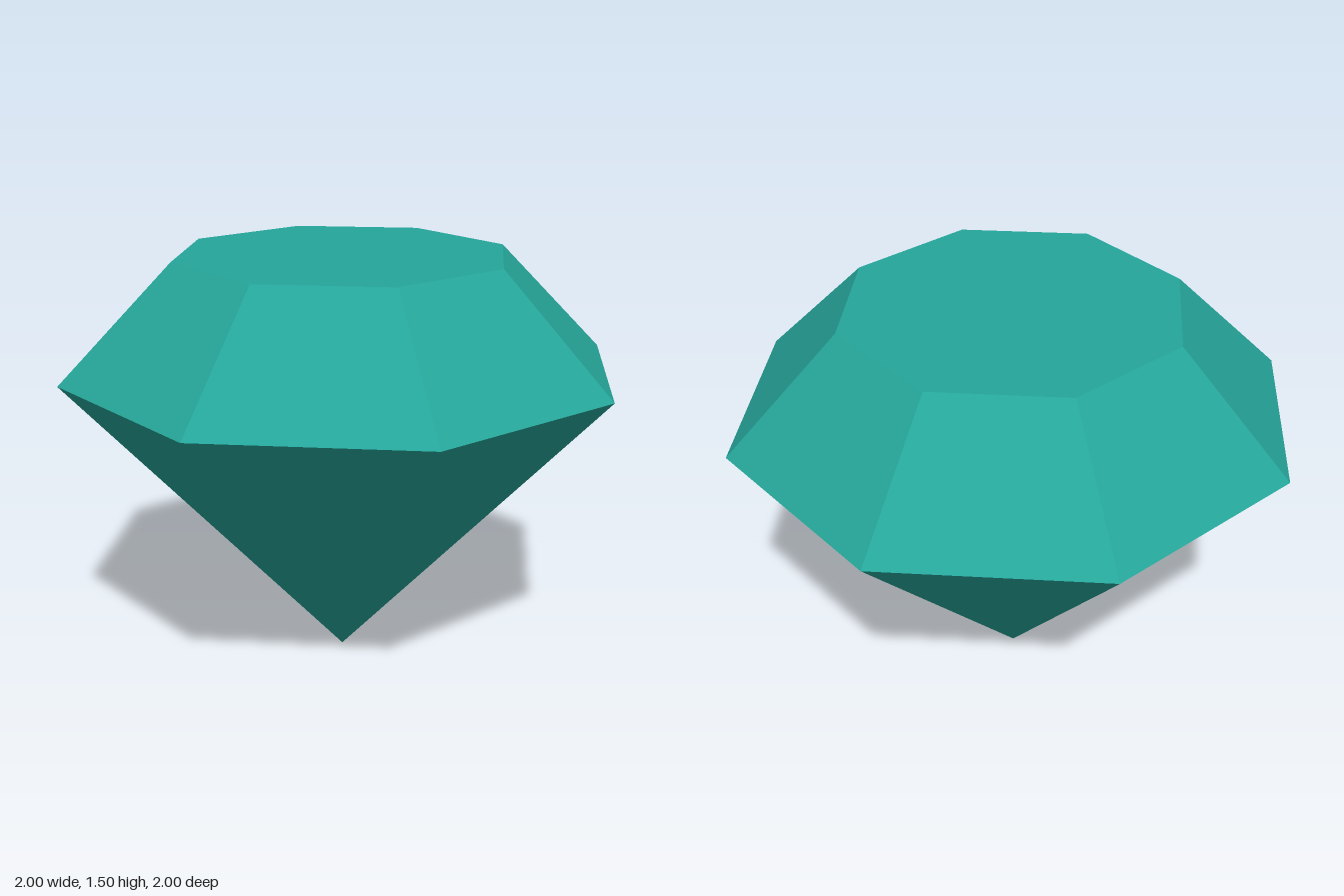
import * as THREE from 'three';

const SIDES = 8;
const GIRDLE_Y = 1.1;
const TOP_Y = 1.5;
const GIRDLE_R = 1;
const TABLE_R = 0.6;

export function createModel() {
  const gem = new THREE.Group();
  gem.name = 'gem';
  const teal = new THREE.MeshStandardMaterial({ color: 0x26a69a, flatShading: true });
  teal.name = 'teal';

  const addPart = (name, geometry, y) => {
    const mesh = new THREE.Mesh(geometry, teal);
    mesh.name = name;
    mesh.position.y = y;
    gem.add(mesh);
    return mesh;
  };

  // Sloping facets between the girdle and the table
  addPart('crown',
    new THREE.CylinderGeometry(TABLE_R, GIRDLE_R, TOP_Y - GIRDLE_Y, SIDES, 1, true),
    (TOP_Y + GIRDLE_Y) / 2);

  // Flat top facet
  addPart('table', new THREE.CircleGeometry(TABLE_R, SIDES), TOP_Y).rotation.x = -Math.PI / 2;

  // Pointed lower facets
  addPart('pavilion',
    new THREE.CylinderGeometry(GIRDLE_R, 0, GIRDLE_Y, SIDES, 1, true),
    GIRDLE_Y / 2);

  return gem;
}
